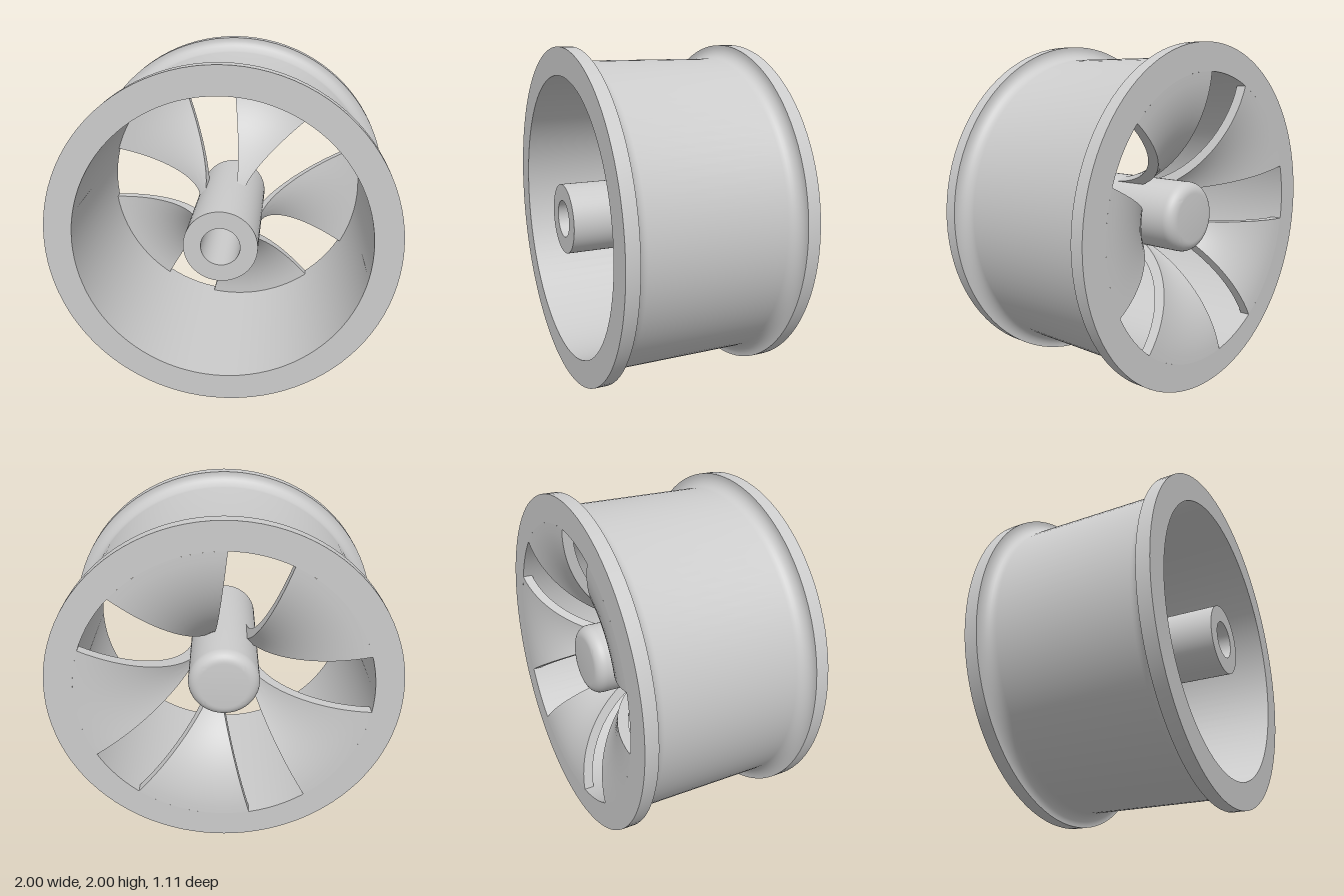
import * as THREE from 'three';
import { toCreasedNormals } from 'three/addons/utils/BufferGeometryUtils.js';

const HALF = 0.555;      // half the wheel width
const BORE = 0.84;       // inside radius of the barrel
const material = new THREE.MeshStandardMaterial({ color: 0xcccccc });

// Points of an arc in the (radius, z) plane
function arc(cr, cz, rad, from, to, steps = 8) {
  return Array.from({ length: steps + 1 }, (_, i) => {
    const a = from + (to - from) * i / steps;
    return [cr + rad * Math.cos(a), cz + rad * Math.sin(a)];
  });
}

// Revolve an anticlockwise (radius, z) profile about the z axis
function revolve(name, profile, segments) {
  const points = profile.map(([r, z]) => new THREE.Vector2(r, z));
  const geometry = new THREE.LatheGeometry(points, segments);
  geometry.rotateX(Math.PI / 2);
  const mesh = new THREE.Mesh(toCreasedNormals(geometry, 0.6), material);
  mesh.name = name;
  return mesh;
}

// Curved wedge: flares from the hub like a horn and flattens at the back rim
function spokeGeometry() {
  const backR = 0.7, frontR = 0.64, apex = 0.155, half = THREE.MathUtils.degToRad(29);
  const centreZ = -HALF + backR, rows = 20, cols = 14, ring = 2 * (cols + 1);
  const positions = [], index = [];
  for (let i = 0; i <= rows; i++) {
    const offset = frontR * Math.sin(i / rows * Math.PI / 2);
    const r = BORE - offset;
    const spread = half - Math.asin(apex * Math.sin(half) / r);   // straight cut edges
    const depth = (rad) => centreZ - Math.sqrt(Math.max(0, rad * rad - offset * offset));
    for (let k = 0; k < ring; k++) {
      const back = k <= cols;
      const j = back ? k : ring - 1 - k;
      const a = spread * (2 * j / cols - 1);
      positions.push(r * Math.cos(a), r * Math.sin(a), depth(back ? backR : frontR));
    }
  }
  for (let i = 0; i < rows; i++) {
    for (let k = 0; k < ring; k++) {
      const a = i * ring + k, b = i * ring + (k + 1) % ring;
      index.push(a, a + ring, b, b, a + ring, b + ring);
    }
  }
  const geometry = new THREE.BufferGeometry();
  geometry.setAttribute('position', new THREE.Float32BufferAttribute(positions, 3));
  geometry.setIndex(index);
  return toCreasedNormals(geometry, 0.6);
}

export function createModel() {
  const model = new THREE.Group();
  model.name = 'wheel';
  const { PI } = Math;

  // Barrel with two flanges and filleted corners
  const flange = 0.477, fillet = 0.073, barrel = 0.92;
  model.add(revolve('rim', [
    [BORE, -HALF], [1, -HALF], [1, -flange],
    ...arc(barrel + fillet, -flange + fillet, fillet, -PI / 2, -PI),
    ...arc(barrel + fillet, flange - fillet, fillet, PI, PI / 2),
    [1, flange], [1, HALF], [BORE, HALF], [BORE, -HALF],
  ], 96));

  // Hub: rounded closed end at the back, blind bore at the front
  const hubR = 0.208, hubBack = -0.455, round = 0.065;
  model.add(revolve('hub', [
    [0, hubBack],
    ...arc(hubR - round, hubBack + round, round, -PI / 2, 0),
    [hubR, HALF], [0.11, HALF], [0.11, -0.3], [0, -0.3],
  ], 64));

  // Five spokes
  const geometry = spokeGeometry();
  const spokes = new THREE.Group();
  spokes.name = 'spokes';
  for (let i = 0; i < 5; i++) {
    const spoke = new THREE.Mesh(geometry, material);
    spoke.name = 'spoke';
    spoke.rotation.z = THREE.MathUtils.degToRad(-4.5 + 72 * i);
    spokes.add(spoke);
  }
  model.add(spokes);

  model.children.forEach((part) => { part.position.y = 1; });
  return model;
}
